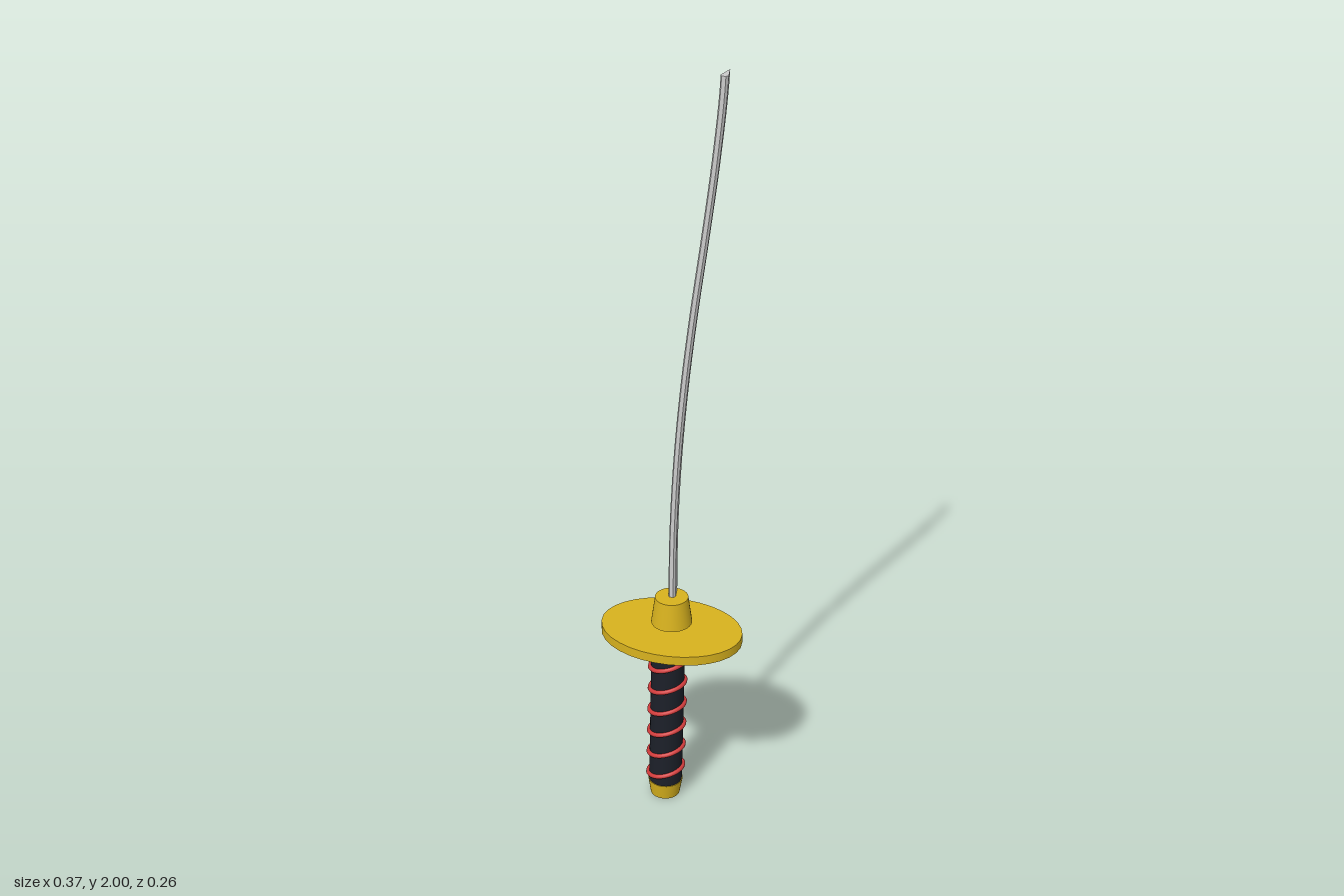
import * as THREE from 'three';

const mat = (color, flat = false) => new THREE.MeshStandardMaterial({ color, flatShading: flat });
const gold = mat(0xd8b21e), black = mat(0x1c2029), red = mat(0xd23c3c), steel = mat(0xcccccc, true);

function add(parent, name, geometry, material, x = 0, y = 0, z = 0) {
  const mesh = new THREE.Mesh(geometry, material);
  mesh.name = name;
  mesh.position.set(x, y, z);
  parent.add(mesh);
  return mesh;
}

// Upright cylinder between two heights
function post(parent, name, material, rTop, rBottom, y0, y1) {
  const g = new THREE.CylinderGeometry(rTop, rBottom, y1 - y0, 32);
  return add(parent, name, g, material, 0, (y0 + y1) / 2);
}

// Bevelled wedge section swept upward, then bent sideways along a gentle S
function bladeGeometry(y0, y1) {
  const section = new THREE.Shape([
    [-0.0095, 0.003], [-0.005, -0.004], [0.005, -0.004],
    [0.0095, 0.003], [0.001, 0.041], [-0.001, 0.041],
  ].map(([x, y]) => new THREE.Vector2(x, y)));
  const g = new THREE.ExtrudeGeometry(section, { depth: y1 - y0, steps: 40, bevelEnabled: false });
  g.rotateX(-Math.PI / 2).translate(0, y0, 0);
  const bend = new THREE.SplineCurve([
    [0, 0], [0.003, 0.2], [0.013, 0.4], [0.03, 0.6],
    [0.053, 0.8], [0.08, 1.0], [0.105, 1.2], [0.123, 1.4],
  ].map(([x, y]) => new THREE.Vector2(x, y)));
  const p = g.attributes.position;
  for (let i = 0; i < p.count; i++) {
    const t = (p.getY(i) - y0) / (y1 - y0);
    p.setX(i, p.getX(i) + bend.getPoint(t).x);
  }
  g.computeVertexNormals();
  return g;
}

export function createModel() {
  const sword = new THREE.Group();
  sword.name = 'sword';

  // Grip, leaning slightly towards the blade's curve
  const grip = new THREE.Group();
  grip.name = 'grip';
  grip.position.x = -0.018;
  grip.rotation.z = -0.02;
  sword.add(grip);
  post(grip, 'pommel', gold, 0.045, 0.038, 0, 0.044);
  post(grip, 'handle', black, 0.043, 0.043, 0.044, 0.492);

  // Slanted cord rings around the handle
  const slant = 0.3, rings = 7;
  for (let i = 0; i < rings; i++) {
    const g = new THREE.TorusGeometry(0.045, 0.006, 8, 40);
    g.rotateX(Math.PI / 2).scale(1 / Math.cos(slant), 1, 1).rotateZ(slant);
    add(grip, 'cordRing', g, red, 0, 0.075 + (i * 0.4) / (rings - 1));
  }

  // Oval guard and tapered collar
  post(sword, 'guard', gold, 1, 1, 0.492, 0.517).scale.set(0.183, 1, 0.132);
  post(sword, 'collar', gold, 0.042, 0.052, 0.535, 0.608);

  add(sword, 'blade', bladeGeometry(0.6, 2), steel);
  return sword;
}
